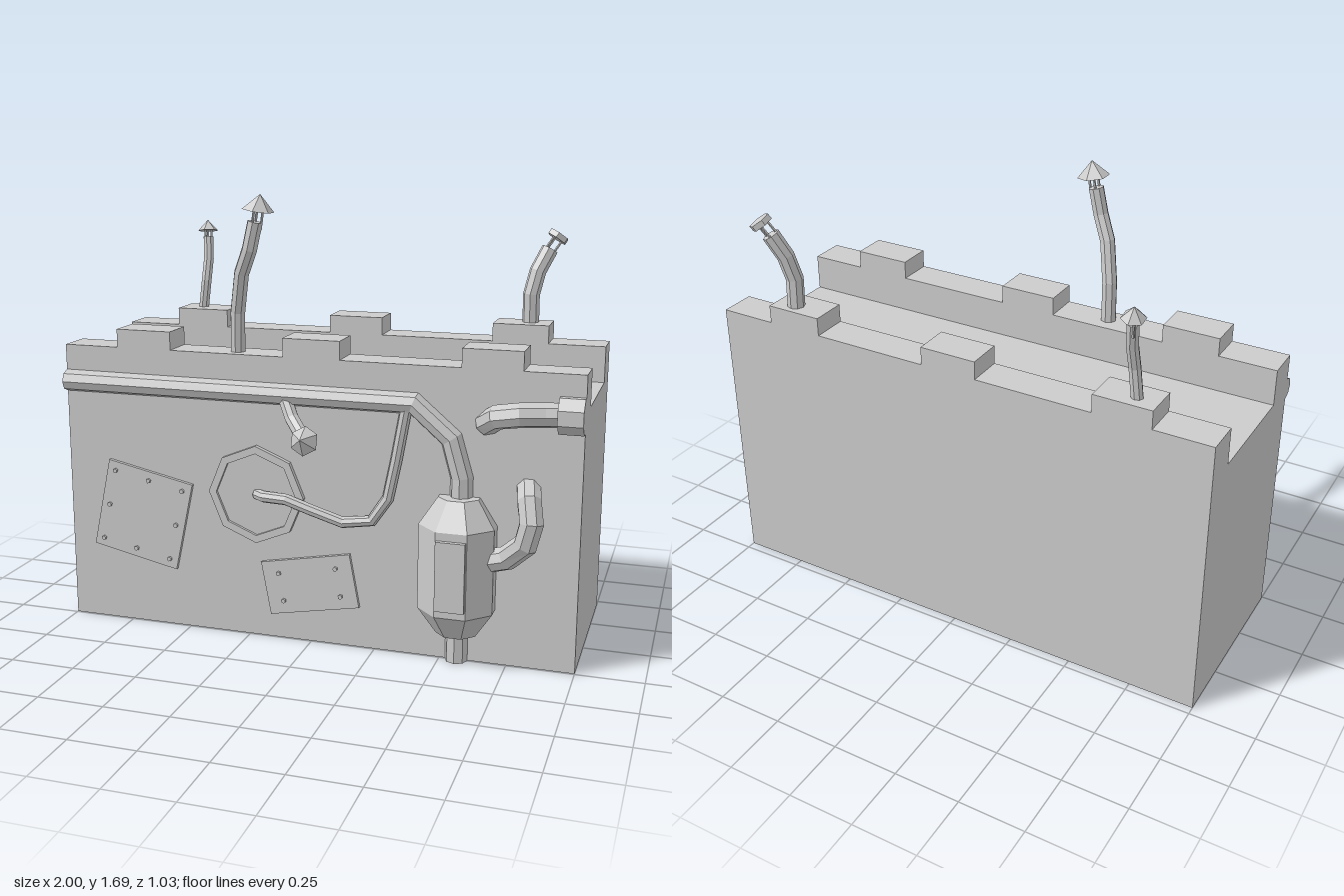
import * as THREE from 'three';

const material = new THREE.MeshStandardMaterial({ color: 0xcccccc, flatShading: true });
const FRONT = 0.245, BACK = -0.467;

function part(parent, name, geometry, x = 0, y = 0, z = 0) {
  const mesh = new THREE.Mesh(geometry, material);
  mesh.name = name;
  mesh.position.set(x, y, z);
  parent.add(mesh);
  return mesh;
}

// Straight segments joined by mitred elbows
class Polyline extends THREE.Curve {
  constructor(points) {
    super();
    this.points = points.map(p => new THREE.Vector3(...p));
  }
  getPointAt(u, target = new THREE.Vector3()) {
    return target.copy(this.points[Math.round(u * (this.points.length - 1))]);
  }
  getTangentAt(u, target = new THREE.Vector3()) {
    const p = this.points, i = Math.round(u * (p.length - 1));
    target.set(0, 0, 0);
    if (i > 0) target.add(p[i].clone().sub(p[i - 1]).normalize());
    if (i < p.length - 1) target.add(p[i + 1].clone().sub(p[i]).normalize());
    return target.normalize();
  }
}

// Faceted pipe with closed ends
function pipe(parent, name, points, radius, sides = 8) {
  const n = points.length - 1;
  const tube = new THREE.TubeGeometry(new Polyline(points), n, radius, sides);
  const index = Array.from(tube.index.array), last = n * (sides + 1);
  for (let j = 1; j < sides - 1; j++) {
    index.push(0, j, j + 1, last, last + j + 1, last + j);
  }
  tube.setIndex(index);
  const geometry = tube.toNonIndexed();
  geometry.computeVertexNormals();
  return part(parent, name, geometry);
}

// Bent chimney with a small cap carried on thin struts
function chimney(parent, name, points, radius, capPoint, capDir, capRadius, capHeight, flat) {
  const group = new THREE.Group();
  group.name = name;
  parent.add(group);
  pipe(group, 'chimneyPipe', points, radius);
  const cap = new THREE.Group();
  cap.name = 'chimneyCap';
  cap.position.set(...capPoint);
  cap.quaternion.setFromUnitVectors(new THREE.Vector3(0, 1, 0), new THREE.Vector3(...capDir).normalize());
  group.add(cap);
  const top = flat ? capRadius : 0;
  part(cap, 'capTop', new THREE.CylinderGeometry(top, capRadius, capHeight, 6), 0, capHeight / 2, 0);
  for (let i = 0; i < 3; i++) {
    const a = i * Math.PI * 2 / 3;
    part(cap, 'capStrut', new THREE.CylinderGeometry(0.005, 0.005, 0.07, 5),
      Math.cos(a) * radius * 0.65, -0.033, Math.sin(a) * radius * 0.65);
  }
}

// Tilted plate with bolts on the wall
function plate(parent, name, x, y, w, h, angle, bolts) {
  const group = new THREE.Group();
  group.name = name;
  group.position.set(x, y, FRONT);
  group.rotation.z = angle;
  parent.add(group);
  part(group, 'plateSheet', new THREE.BoxGeometry(w, h, 0.03));
  for (const [bx, by] of bolts) {
    part(group, 'bolt', new THREE.CylinderGeometry(0.009, 0.009, 0.012, 6), bx, by, 0.019).rotation.x = Math.PI / 2;
  }
}

function octagon(radius, PathType) {
  const path = new PathType();
  for (let i = 0; i < 8; i++) {
    const a = Math.PI / 2 + i * Math.PI / 4;
    path[i ? 'lineTo' : 'moveTo'](Math.cos(a) * radius, Math.sin(a) * radius);
  }
  path.closePath();
  return path;
}

export function createModel() {
  const model = new THREE.Group();
  model.name = 'fortifiedWall';

  // Wall with a sunken walkway between two parapets
  const profile = new THREE.Shape([
    [-FRONT, 0], [-BACK, 0], [-BACK, 1.1], [0.33, 1.1], [0.33, 0.96], [-0.11, 0.96], [-0.11, 1.1], [-FRONT, 1.1],
  ].map(p => new THREE.Vector2(...p)));
  const wall = new THREE.ExtrudeGeometry(profile, { depth: 2, bevelEnabled: false });
  part(model, 'wall', wall.translate(0, 0, -1).rotateY(Math.PI / 2));
  for (const x of [-0.67, 0, 0.67]) {
    for (const [z0, z1] of [[0.11, FRONT], [BACK, -0.33]]) {
      part(model, 'merlon', new THREE.BoxGeometry(0.22, 0.07, z1 - z0), x, 1.135, (z0 + z1) / 2);
    }
  }

  // Main pipe running along the wall and down into the tank
  pipe(model, 'mainPipe', [[-1, 0.96, 0.245], [0.39, 0.96, 0.245], [0.53, 0.84, 0.245], [0.57, 0.7, 0.245], [0.57, 0.6, 0.245]], 0.042);
  pipe(model, 'drainPipe', [[0.565, 0, 0.25], [0.565, 0.13, 0.25]], 0.042);

  // Tapered tank with a front panel
  const tank = new THREE.Group();
  tank.name = 'tank';
  tank.position.set(0.565, 0, FRONT);
  model.add(tank);
  const tiers = [[0.08, 0.11], [0.15, 0.21], [0.15, 0.53], [0.08, 0.63]];
  const tankProfile = [[0, 0.11], ...tiers, [0, 0.63]].map(p => new THREE.Vector2(...p));
  part(tank, 'tankBody', new THREE.LatheGeometry(tankProfile, 8, Math.PI / 8));
  part(tank, 'tankPanel', new THREE.BoxGeometry(0.108, 0.26, 0.06), 0, 0.37, 0.126);

  // Bent pipe from the tank back into the wall
  pipe(model, 'tankSidePipe', [[0.66, 0.4, 0.27], [0.75, 0.43, 0.29], [0.82, 0.5, 0.33], [0.84, 0.58, 0.338],
    [0.825, 0.65, 0.31], [0.81, 0.675, 0.23]], 0.045);

  // Short pipe with a collar at the wall's end
  pipe(model, 'endPipe', [[0.93, 0.955, 0.255], [0.86, 0.955, 0.27], [0.78, 0.955, 0.298], [0.7, 0.94, 0.285], [0.65, 0.9, 0.225]], 0.045);
  const collar = new THREE.CylinderGeometry(0.07, 0.07, 0.09, 8).rotateY(Math.PI / 8).rotateZ(Math.PI / 2);
  part(model, 'endCollar', collar, 0.955, 0.955, FRONT);

  // Thin pipe curling to the octagonal hatch
  pipe(model, 'thinPipe', [[0.365, 0.95, 0.255], [0.33, 0.75, 0.255], [0.3, 0.6, 0.258], [0.24, 0.51, 0.262],
    [0.13, 0.495, 0.268], [0.0, 0.535, 0.272], [-0.09, 0.565, 0.275], [-0.18, 0.567, 0.272], [-0.215, 0.567, 0.245]], 0.022);
  const rim = octagon(0.19, THREE.Shape);
  rim.holes.push(octagon(0.16, THREE.Path));
  part(model, 'hatchRim', new THREE.ExtrudeGeometry(rim, { depth: 0.02, bevelEnabled: false }), -0.215, 0.568, FRONT);
  const disc = octagon(0.165, THREE.Shape);
  part(model, 'hatchPlate', new THREE.ExtrudeGeometry(disc, { depth: 0.008, bevelEnabled: false }), -0.215, 0.568, FRONT);

  // Bolted plates
  const ring = [];
  for (const x of [-1, 0, 1]) for (const y of [-1, 0, 1]) if (x || y) ring.push([x * 0.143, y * 0.143]);
  plate(model, 'squarePlate', -0.688, 0.445, 0.356, 0.356, -0.21, ring);
  plate(model, 'oblongPlate', -0.003, 0.232, 0.357, 0.21, 0.185,
    [[-0.115, 0.055], [0.115, 0.055], [-0.115, -0.055], [0.115, -0.055]]);

  // Chimneys and the exhaust hanging from the main pipe
  chimney(model, 'frontChimney', [[-0.31, 1.08, 0.18], [-0.305, 1.25, 0.188], [-0.275, 1.4, 0.22], [-0.235, 1.49, 0.24], [-0.212, 1.59, 0.24]],
    0.029, [-0.2, 1.63, 0.24], [0.15, 1, 0], 0.06, 0.06, false);
  chimney(model, 'backChimney', [[-0.7, 1.15, -0.41], [-0.685, 1.28, -0.413], [-0.682, 1.37, -0.435], [-0.69, 1.46, -0.455]],
    0.022, [-0.697, 1.485, -0.47], [-0.1, 1, -0.2], 0.043, 0.045, false);
  chimney(model, 'backFlatChimney', [[0.695, 1.15, -0.415], [0.695, 1.28, -0.41], [0.715, 1.37, -0.425], [0.755, 1.455, -0.45]],
    0.033, [0.778, 1.493, -0.462], [0.5, 0.8, -0.25], 0.043, 0.022, true);
  chimney(model, 'hangingExhaust', [[-0.1, 0.95, 0.25], [-0.06, 0.88, 0.285], [-0.01, 0.835, 0.33], [0.03, 0.82, 0.38], [0.045, 0.835, 0.44]],
    0.027, [0.048, 0.847, 0.466], [0, 0.3, 1], 0.054, 0.052, false);
  return model;
}
